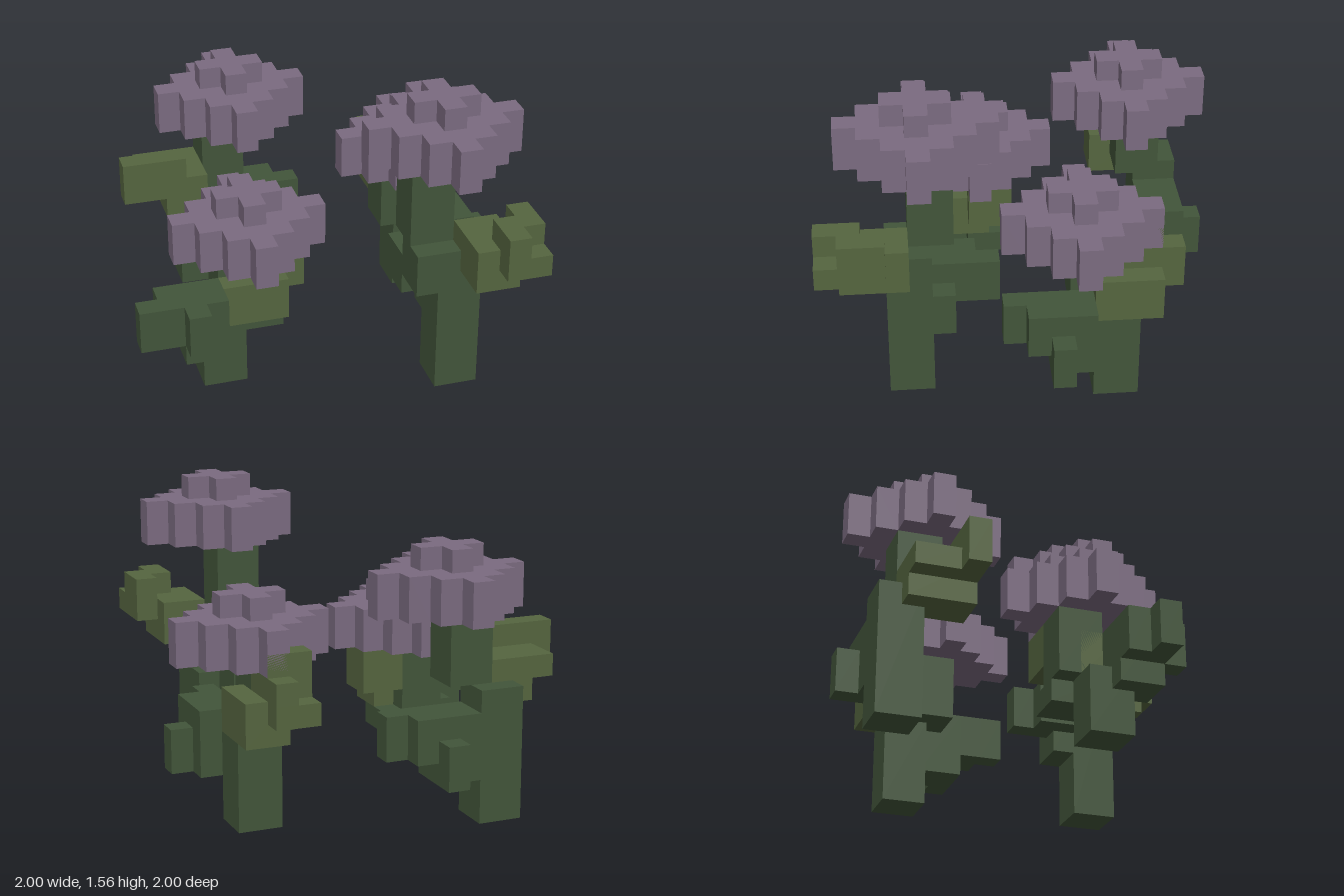
import * as THREE from 'three';

const U = 1 / 9; // one grid cell
const mat = (color) => new THREE.MeshStandardMaterial({ color, flatShading: true });
const purple = mat(0x7b6b80), green = mat(0x42553a), olive = mat(0x55653f);

// Stepped diamond slab: all cells with |i| + |j| <= n
function diamond(n, height) {
  const pts = [];
  for (let q = 0; q < 4; q++) {
    const turn = (x, y) => pts.push(
      new THREE.Vector2(x * U, y * U).rotateAround(new THREE.Vector2(), q * Math.PI / 2));
    for (let k = 0; k <= n; k++) {
      turn(n - k + 0.5, k - 0.5);
      if (k < n) turn(n - k + 0.5, k + 0.5);
    }
  }
  const geo = new THREE.ExtrudeGeometry(new THREE.Shape(pts), { depth: height * U, bevelEnabled: false });
  return geo.rotateX(-Math.PI / 2);
}

// Named part whose returned function adds blocks by lowest corner; a block is 2 cells wide by default
function part(plant, name, material) {
  const group = new THREE.Group();
  group.name = name;
  plant.add(group);
  const add = (x, y, z, w = 2, h = 2, d = 2) => {
    const block = new THREE.Mesh(new THREE.BoxGeometry(w * U, h * U, d * U), material);
    block.name = name + 'Block';
    block.position.set((x + (w - 1) / 2) * U, (y + h / 2) * U, (z + (d - 1) / 2) * U);
    group.add(block);
  };
  return { group, add };
}

// Plant centred under its cap: a leg, a trunk stepping over to the cap, and the blossom
function makePlant(name, x, z, capY, legX, legZ, legHeight) {
  const plant = new THREE.Group();
  plant.name = name;
  plant.position.set((x + 0.5) * U, 0, (z + 0.5) * U);
  const stem = part(plant, 'stem', green);
  stem.add(legX, 0, legZ, 2, legHeight, 2);
  stem.add(-1, legHeight, -1, 2, capY - legHeight, 2);

  // Broad cap with a small raised cross
  for (const [label, n, height, y] of [['cap', 3, 2, capY], ['capCrown', 1, 1, capY + 2]]) {
    const slab = new THREE.Mesh(diamond(n, height), purple);
    slab.name = label;
    slab.position.y = y * U;
    plant.add(slab);
  }
  return plant;
}

// Side branch shared by both back plants
function forkedBranch(plant, angle) {
  const { group, add } = part(plant, 'branch', green);
  add(0, 2, -2, 2, 3, 2);
  add(1, 2, -3, 1, 2, 1);
  add(2, 3, -2, 1, 2, 2);
  add(3, 3, -1, 1, 2, 1);
  group.rotation.y = angle;
}

function backRightPlant() {
  const plant = makePlant('backRightPlant', -3, -6, 9, -2, -2, 6);
  forkedBranch(plant, 0);
  const leaf = part(plant, 'leaves', olive).add;
  leaf(-3, 5, -1, 2, 2, 3);
  leaf(-4, 6, -1, 1, 1, 2);
  leaf(-5, 6, 1, 3, 2, 1);
  return plant;
}

function backLeftPlant() {
  const plant = makePlant('backLeftPlant', 5, -3, 7, 0, -2, 4);
  forkedBranch(plant, -Math.PI / 2);
  // Leaf cluster with its outer top corner left out
  const leaf = part(plant, 'leaves', olive).add;
  leaf(0, 4, -3, 2, 2, 3);
  leaf(-1, 5, -4, 2, 1, 3);
  leaf(-1, 6, -3);
  leaf(0, 6, -4, 1, 1, 1);
  return plant;
}

function frontRightPlant() {
  const plant = makePlant('frontRightPlant', -4, 1, 6, -2, 0, 3);
  const twig = part(plant, 'branch', green).add;
  twig(-5, 3, 2, 2, 2, 1);
  twig(-4, 3, 1, 1, 2, 1);
  twig(-3, 2, 1, 2, 3, 2);
  twig(-3, 3, 3, 1, 2, 1);
  twig(0, 2, -1, 2, 1, 2);
  const leaf = part(plant, 'leaves', olive).add;
  leaf(-1, 3, 0, 3);
  leaf(1, 4, -1);
  return plant;
}

function frontLeftPlant() {
  const plant = makePlant('frontLeftPlant', 4, 4, 11, 0, 0, 7);
  const twig = part(plant, 'branch', green).add;
  twig(-1, 5, 0, 1); // thick bend of the trunk
  twig(-1, 4, -2);
  twig(0, 4, -3, 1, 2, 1);
  twig(0, 3, -1, 2, 2, 1);
  // Leaf cluster with one corner cell left out
  const leaf = part(plant, 'leaves', olive).add;
  leaf(1, 6, 1, 2, 2, 3);
  leaf(2, 7, 3, 2, 1, 2);
  leaf(2, 8, 3, 2, 1, 1);
  leaf(2, 8, 4, 1, 1, 1);
  leaf(3, 7, 2, 1, 2, 1);
  return plant;
}

export function createModel() {
  const model = new THREE.Group();
  model.name = 'plantCluster';
  model.add(backRightPlant(), backLeftPlant(), frontRightPlant(), frontLeftPlant());
  return model;
}
